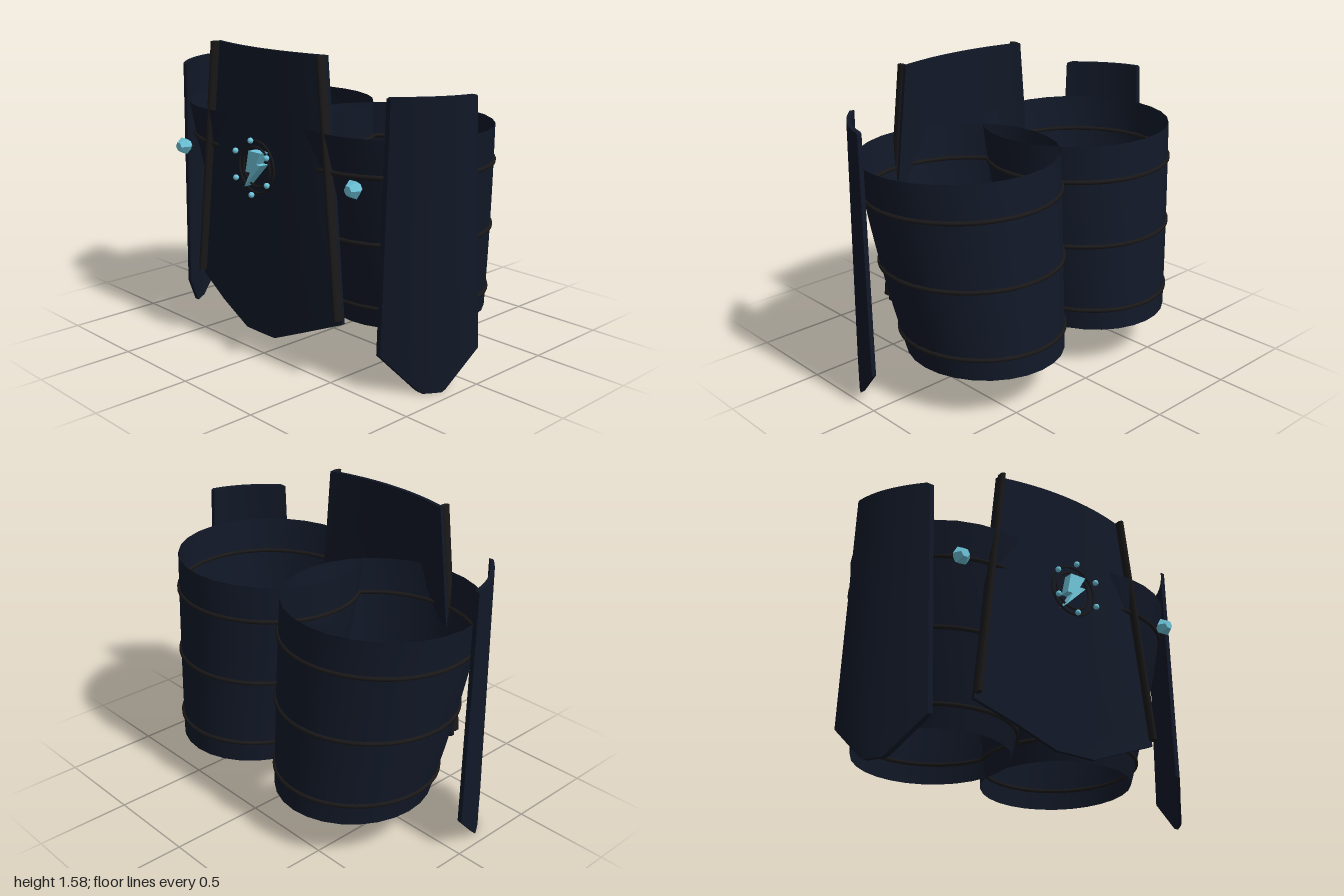
import * as THREE from 'three';
import { toCreasedNormals } from 'three/addons/utils/BufferGeometryUtils.js';

const mat = (color, flatShading = false) =>
  new THREE.MeshStandardMaterial({ color, flatShading, side: THREE.DoubleSide });
const cloth = mat(0x111827);
const trim = mat(0x1a1818);
const teal = mat(0x6ec6dc, true);
const glow = mat(0x6ec6dc);

function add(parent, name, geometry, material) {
  const mesh = new THREE.Mesh(geometry, material);
  mesh.name = name;
  parent.add(mesh);
  return mesh;
}

// Skin a stack of equally sized closed loops (Vector3 arrays); strip caps for thin plates
function loft(loops, capped) {
  const n = loops[0].length, index = [];
  for (let r = 0; r < loops.length - 1; r++)
    for (let i = 0; i < n; i++) {
      const a = r * n + i, b = r * n + (i + 1) % n;
      index.push(a, b, a + n, b, b + n, a + n);
    }
  if (capped)
    for (let i = 0; i < n / 2 - 1; i++) {
      const a = i, b = i + 1, c = n - 2 - i, d = n - 1 - i, o = (loops.length - 1) * n;
      index.push(a, c, b, a, d, c, o + a, o + b, o + c, o + a, o + c, o + d);
    }
  const g = new THREE.BufferGeometry().setFromPoints(loops.flat());
  g.setIndex(index);
  g.computeVertexNormals();
  return g;
}

// Thin curved plate: rows are [y, from, to]; place(y, c, inset) gives the surface point
function plate(rows, place, thickness, columns = 12) {
  const loops = rows.map(([y, from, to]) => {
    const outer = [], inner = [];
    for (let i = 0; i <= columns; i++) {
      const c = from + (to - from) * i / columns;
      outer.push(place(y, c, 0));
      inner.unshift(place(y, c, thickness));
    }
    return [...outer, ...inner];
  });
  return toCreasedNormals(loft(loops, true), 0.6);
}

// Tapered oval section of a leg barrel at height y
const TOP = 1.22, BOTTOM = 0.225;
function barrelLoop(y, side, segments = 28) {
  const t = (TOP - y) / (TOP - BOTTOM), bulge = 4 * t * (1 - t);
  const cx = 0.415 - 0.025 * t, rx = 0.515 - 0.115 * t + 0.012 * bulge;
  const cz = -0.155 * t + 0.01 * bulge, rz = 0.49 - 0.075 * t + 0.01 * bulge;
  return Array.from({ length: segments }, (_, i) => {
    const a = i / segments * Math.PI * 2;
    return new THREE.Vector3(side * (cx + rx * Math.cos(a)), y, cz + rz * Math.sin(a));
  });
}

export function createModel() {
  const model = new THREE.Group();
  model.name = 'armouredLegGuard';

  for (const side of [1, -1]) {
    const label = side > 0 ? 'left' : 'right';

    // Open leg barrel with three hoops
    const barrel = new THREE.Group();
    barrel.name = label + 'Barrel';
    model.add(barrel);
    const loops = [];
    for (let i = 0; i <= 8; i++) loops.push(barrelLoop(TOP + (BOTTOM - TOP) * i / 8, side));
    add(barrel, label + 'BarrelWall', loft(loops, false), cloth);
    for (const y of [1.035, 0.69, 0.335]) {
      const path = new THREE.CatmullRomCurve3(barrelLoop(y, side), true);
      add(barrel, label + 'Hoop', new THREE.TubeGeometry(path, 56, 0.012, 6, true), trim);
    }

    // Hip plate, curved around the outside and pointed below
    const hipRows = [[1.42, 0.05, 0.38], [1.412, 0.04, 0.39], [0.8, 0.02, 0.405],
      [0.19, 0.0, 0.42], [0.012, 0.175, 0.285], [0.0, 0.19, 0.27]];
    add(model, label + 'HipPlate', plate(hipRows, (y, z, inset) => new THREE.Vector3(
      side * (1 - 0.012 * Math.max(0, y - 0.2) - 0.06 * z - 1.25 * z * z - inset), y, z
    ), 0.025), cloth);

    // Rounded strip along the slanted edge of the front plate
    const edge = new THREE.LineCurve3(
      new THREE.Vector3(side * 0.392, 1.575, 0.46), new THREE.Vector3(side * 0.53, 0.325, 0.478));
    add(model, label + 'EdgeTrim',
      plate([[1.575, -1, 1], [0.325, -1, 1]], (y, c, inset) => {
        const p = edge.getPoint((1.575 - y) / 1.25);
        const half = 0.027 * Math.sqrt(Math.max(0, 1 - c * c * 0.8));
        return p.add(new THREE.Vector3(c * 0.015, 0, inset ? -half : half));
      }, 1, 6), trim);

    // Faceted gem
    const gemProfile = [[0, -0.036], [0.024, -0.036], [0.048, 0], [0.024, 0.036], [0, 0.036]]
      .map(([r, h]) => new THREE.Vector2(r, h));
    const gem = add(model, label + 'Gem', new THREE.LatheGeometry(gemProfile, 6), teal);
    gem.rotation.set(Math.PI / 2, Math.PI / 6, 0);
    gem.position.set(side * 0.645, 0.995, 0.495);
  }

  // Front plate, bowed forward and flaring to a cut point
  const frontRows = [[1.575, 0.4], [1.2, 0.441], [0.8, 0.485], [0.3, 0.54], [0.21, 0.325], [0.12, 0.11]]
    .map(([y, w]) => [y, -w, w]);
  add(model, 'frontPlate', plate(frontRows, (y, x, inset) => {
    const u = x / (0.4 + 0.11 * (1.575 - y));
    return new THREE.Vector3(x, y, 0.492 + 0.02 * (1.575 - y) - 0.055 * u * u - inset);
  }, 0.02, 16), cloth);

  // Round ornament on the front plate
  const ornament = new THREE.Group();
  ornament.name = 'frontOrnament';
  ornament.position.set(0, 0.995, 0);
  model.add(ornament);
  for (const r of [0.132, 0.1]) {
    const ring = add(ornament, 'ornamentRing', new THREE.TorusGeometry(r, 0.006, 6, 32), trim);
    ring.position.z = 0.527;
  }
  const zigzag = new THREE.Shape([[-0.03, 0.08], [0.062, 0.08], [0.025, 0.018], [0.062, 0.018],
    [-0.066, -0.108], [-0.022, -0.03], [-0.055, -0.03]].map(([x, y]) => new THREE.Vector2(x, y)));
  const bolt = add(ornament, 'zigzagInlay',
    new THREE.ExtrudeGeometry(zigzag, { depth: 0.05, bevelEnabled: false }), teal);
  bolt.position.z = 0.503;
  for (let i = 0; i < 6; i++) {
    const a = Math.PI / 2 + i * Math.PI / 3;
    const stud = add(ornament, 'stud', new THREE.SphereGeometry(0.015, 12, 8), glow);
    stud.position.set(0.137 * Math.cos(a), 0.137 * Math.sin(a), 0.563);
  }

  return model;
}
